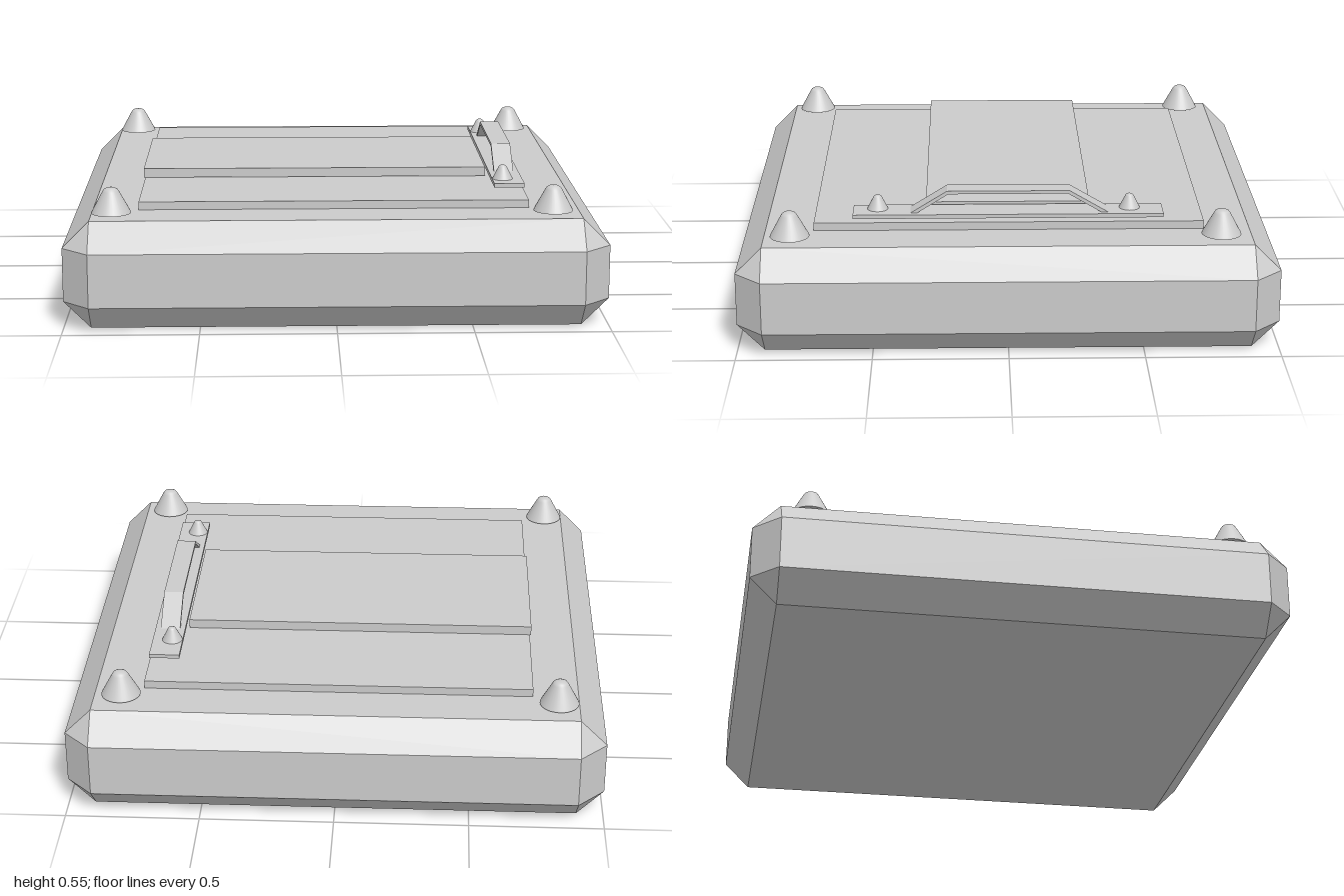
import * as THREE from 'three';
import { ConvexGeometry } from 'three/addons/geometries/ConvexGeometry.js';

export function createModel() {
  const model = new THREE.Group();
  const material = new THREE.MeshStandardMaterial({ color: 0xcccccc });

  function add(name, geometry, x = 0, y = 0, z = 0) {
    const mesh = new THREE.Mesh(geometry, material);
    mesh.name = name;
    mesh.position.set(x, y, z);
    model.add(mesh);
    return mesh;
  }

  // Box given by its limits on each axis
  function slab(name, [x0, x1], [y0, y1], [z0, z1]) {
    add(name, new THREE.BoxGeometry(x1 - x0, y1 - y0, z1 - z0),
      (x0 + x1) / 2, (y0 + y1) / 2, (z0 + z1) / 2);
  }

  // Body: slab with every edge and corner bevelled
  const corners = [];
  for (const sx of [-1, 1]) for (const sy of [-1, 1]) for (const sz of [-1, 1]) {
    corners.push(
      new THREE.Vector3(sx, 0.1 * sy, 0.9 * sz),
      new THREE.Vector3(0.9 * sx, 0.2 * sy, 0.9 * sz),
      new THREE.Vector3(0.9 * sx, 0.1 * sy, sz));
  }
  add('body', new ConvexGeometry(corners), 0, 0.2, 0);

  // Stepped panels on the lid
  slab('lowerPanel', [-0.73, 0.72], [0.395, 0.43], [-0.73, 0.72]);
  slab('upperPanel', [-0.735, 0.595], [0.432, 0.467], [-0.31, 0.305]);
  slab('handlePlate', [0.605, 0.72], [0.445, 0.46], [-0.58, 0.575]);

  // Blunt cone stud with a rounded tip, closed underneath
  function studGeometry(radius, height) {
    const profile = [[0, 0], [1, 0], [1, 0], [0.97, 0.06], [0.42, 0.84], [0.34, 0.93], [0.2, 0.985], [0, 1]];
    return new THREE.LatheGeometry(
      profile.map(([r, y]) => new THREE.Vector2(r * radius, y * height)), 32);
  }

  // Corner studs
  const cornerStud = studGeometry(0.073, 0.095);
  for (const x of [-0.825, 0.8]) for (const z of [-0.787, 0.803]) {
    add('cornerStud', cornerStud, x, 0.41, z);
  }

  // Small studs fastening the handle plate
  const handleStud = studGeometry(0.039, 0.055);
  for (const z of [-0.457, 0.484]) add('handleStud', handleStud, 0.645, 0.459, z);

  // Handle: bent strip, profile in z and y, extruded across x
  const strip = new THREE.Shape([
    [0.365, 0.458], [0.225, 0.545], [-0.23, 0.545], [-0.378, 0.458],
    [-0.352, 0.458], [-0.225, 0.533], [0.22, 0.533], [0.34, 0.458],
  ].map(([z, y]) => new THREE.Vector2(z, y)));
  const handle = new THREE.ExtrudeGeometry(strip, { depth: 0.075, bevelEnabled: false });
  handle.rotateY(-Math.PI / 2);
  add('handle', handle, 0.7, 0, 0);

  return model;
}
